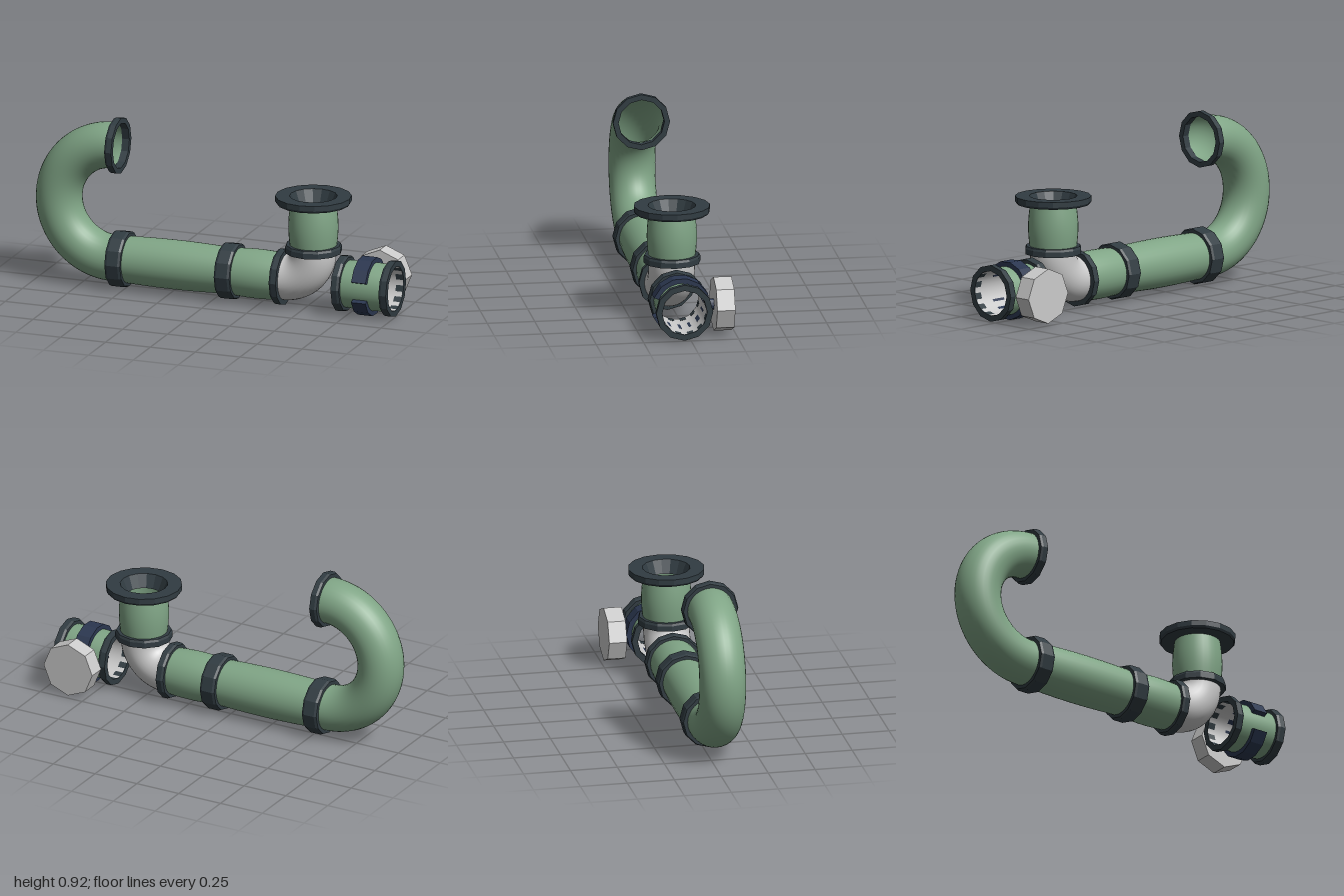
import * as THREE from 'three';

const AXIS_Y = 0.157, AXIS_Z = 0.034, R = 0.122;

export function createModel() {
  const model = new THREE.Group();
  const material = (color, extra = {}) => new THREE.MeshStandardMaterial({ color, ...extra });
  const green = material(0x80a586, { side: THREE.DoubleSide });
  const dark = material(0x313c42, { flatShading: true });
  const navy = material(0x2b3750, { flatShading: true });
  const grey = material(0xcccccc, { side: THREE.DoubleSide });
  const greyFlat = material(0xcccccc, { flatShading: true });

  const add = (name, geometry, mat, x, y, z = 0) => {
    const mesh = new THREE.Mesh(geometry, mat);
    mesh.name = name;
    mesh.position.set(x, y, z);
    model.add(mesh);
    return mesh;
  };
  const lathe = (points, sides) =>
    new THREE.LatheGeometry(points.map(([r, y]) => new THREE.Vector2(r, y)), sides);

  // Open pipe that swells by `bulge` halfway along its length
  const pipeGeometry = (length, bulge, radius = R) => {
    const points = [];
    for (let i = 0; i <= 12; i++) {
      points.push([radius + bulge * Math.sin(Math.PI * i / 12), length * i / 12]);
    }
    return lathe(points, 32);
  };

  // Twelve-sided collar, slightly bevelled on its first side
  const collarGeometry = (h, ro = 0.15, ri = 0.121) => lathe(
    [[ri, 0], [ro - 0.006, 0], [ro, h * 0.3], [ro, h], [ri, h], [ri, 0]], 12);

  // Turns an upright part along +x (direction 1) or -x (direction -1)
  const addAlongX = (name, geometry, mat, x, y, direction = 1) => {
    add(name, geometry, mat, x, y).rotation.z = -direction * Math.PI / 2;
  };

  // Return bend with its open end collar
  add('returnBend', new THREE.TorusGeometry(0.307, R, 32, 48, Math.PI), green, -0.57, AXIS_Y + 0.307)
    .rotation.z = Math.PI / 2;
  addAlongX('bendEndCollar', collarGeometry(0.04), dark, -0.572, AXIS_Y + 0.614);

  // Long and short straight pipes
  addAlongX('longPipe', pipeGeometry(0.61, 0.008), green, -0.53, AXIS_Y);
  addAlongX('shortPipe', pipeGeometry(0.305, 0.008), green, 0.08, AXIS_Y);

  // Joint collars in back-to-back pairs
  for (const x of [-0.528, 0.082]) {
    addAlongX('jointCollar', collarGeometry(0.043), dark, x - 0.043, AXIS_Y);
    addAlongX('jointCollar', collarGeometry(0.043), dark, x + 0.043, AXIS_Y, -1);
  }
  addAlongX('elbowCollar', collarGeometry(0.041), dark, 0.345, AXIS_Y);

  // Elbow turning upward
  add('elbow', new THREE.TorusGeometry(0.155, 0.121, 32, 20, Math.PI / 2), grey, 0.385, AXIS_Y + 0.155)
    .rotation.z = -Math.PI / 2;

  // Riser with a wide funnel flange on top
  add('riserCollar', collarGeometry(0.041), dark, 0.54, 0.352).rotation.x = Math.PI;
  add('riserPipe', pipeGeometry(0.275, 0.013, 0.118), green, 0.54, 0.312);
  add('topFlange', lathe([[0.095, -0.03], [0.115, 0], [0.192, 0], [0.2, 0.012], [0.2, 0.04],
    [0.125, 0.04], [0.095, -0.03]], 16), dark, 0.54, 0.575);

  // Separate valve pipe with liner and end collars
  addAlongX('valvePipe', pipeGeometry(0.3, 0.006), green, 0.695, AXIS_Y);
  addAlongX('valveLiner', pipeGeometry(0.3, 0, 0.1165), grey, 0.695, AXIS_Y);
  addAlongX('valveCollar', collarGeometry(0.043, 0.15, 0.119), dark, 0.735, AXIS_Y, -1);
  addAlongX('valveCollar', collarGeometry(0.043, 0.15, 0.119), dark, 0.957, AXIS_Y);

  // Clamp band, open at the front
  const gap = 0.36, band = [];
  const steps = 12;
  for (let i = 0; i <= steps; i++) band.push([0.155, gap + (2 * Math.PI - 2 * gap) * i / steps]);
  const outline = [...band, ...band.map(([, a]) => [0.119, a]).reverse()]
    .map(([r, a]) => new THREE.Vector2(-r * Math.cos(a), r * Math.sin(a)));
  const clamp = new THREE.ExtrudeGeometry(new THREE.Shape(outline), { depth: 0.08, bevelEnabled: false });
  add('clampBand', clamp, navy, 0.805, AXIS_Y).rotation.y = Math.PI / 2;

  // Valve stem and octagonal handle at the back
  add('valveStem', new THREE.CylinderGeometry(0.029, 0.029, 0.04, 12), navy, 0.845, AXIS_Y, -0.163)
    .rotation.x = Math.PI / 2;
  add('valveHandle', new THREE.CylinderGeometry(0.145, 0.145, 0.095, 8), greyFlat, 0.843, AXIS_Y, -0.2215)
    .rotation.x = Math.PI / 2;

  model.position.z = AXIS_Z;
  const root = new THREE.Group();
  root.name = 'pipework';
  root.add(model);
  return root;
}
